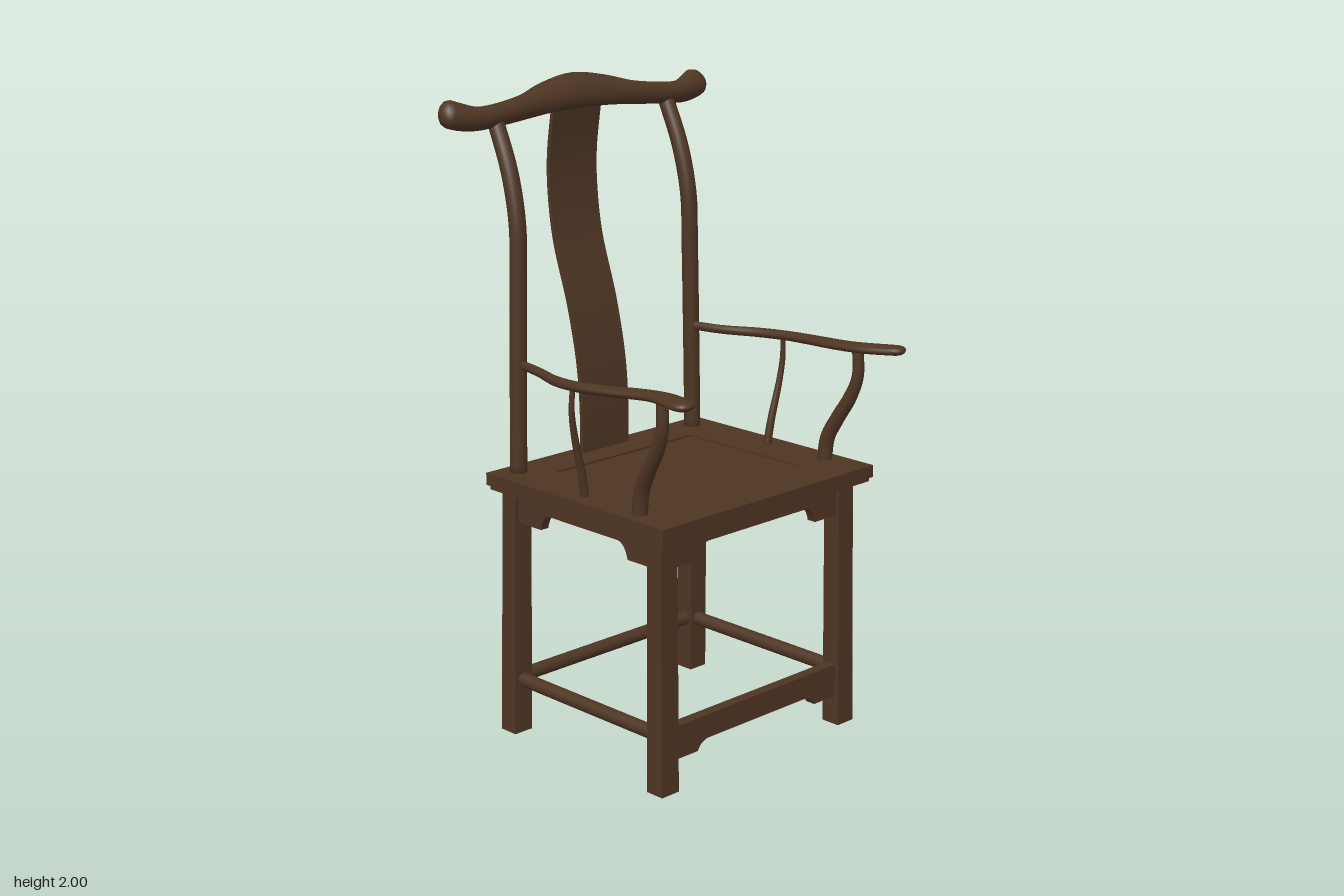
import * as THREE from 'three';

const wood = new THREE.MeshStandardMaterial({ color: 0x4e3523 });
wood.name = 'dark wood';

// Smooth oval sweep. Each station is [x, y, z, halfA, halfB];
// halfA lies along the hint axis, dome rounds off both ends.
function sweep(stations, hint, dome = 0, steps = 36, sides = 16) {
  const path = new THREE.CatmullRomCurve3(stations.map(s => new THREE.Vector3(s[0], s[1], s[2])));
  const size = new THREE.CatmullRomCurve3(stations.map(s => new THREE.Vector3(s[3], s[4], 0)), false, 'catmullrom');
  const axis = new THREE.Vector3(...hint);
  const rings = [];
  const ends = dome ? [0.05, 0.3, 0.6, 0.85] : [];
  for (const f of ends) rings.push([0, -Math.sqrt(1 - f * f), f]);
  for (let i = 0; i <= steps; i++) rings.push([i / steps, 0, 1]);
  for (const f of ends.slice().reverse()) rings.push([1, Math.sqrt(1 - f * f), f]);
  const pos = [], idx = [], n = rings.length;
  for (const [t, push, scale] of rings) {
    const T = path.getTangent(t);
    const A = axis.clone().addScaledVector(T, -axis.dot(T)).normalize();
    const B = new THREE.Vector3().crossVectors(T, A);
    const c = path.getPoint(t).addScaledVector(T, push * dome);
    const s = size.getPoint(t);
    for (let j = 0; j < sides; j++) {
      const w = j / sides * Math.PI * 2;
      const p = c.clone().addScaledVector(A, Math.cos(w) * s.x * scale).addScaledVector(B, Math.sin(w) * s.y * scale);
      pos.push(p.x, p.y, p.z);
    }
  }
  for (let i = 0; i < n - 1; i++) for (let j = 0; j < sides; j++) {
    const a = i * sides + j, b = i * sides + (j + 1) % sides;
    idx.push(a, b, b + sides, a, b + sides, a + sides);
  }
  for (let j = 1; j < sides - 1; j++) {
    const e = (n - 1) * sides;
    idx.push(0, j + 1, j, e, e + j, e + j + 1);
  }
  const g = new THREE.BufferGeometry();
  g.setAttribute('position', new THREE.Float32BufferAttribute(pos, 3));
  g.setIndex(idx);
  g.computeVertexNormals();
  return g;
}

// Rail with a stepped, curved bracket at each end
function bracketRail(L, top, mid, low, thick) {
  const s = new THREE.Shape();
  s.moveTo(-L, top);
  s.lineTo(-L, low);
  s.lineTo(-L + 0.1, low);
  s.quadraticCurveTo(-L + 0.11, mid - 0.005, -L + 0.14, mid);
  s.lineTo(L - 0.14, mid);
  s.quadraticCurveTo(L - 0.11, mid - 0.005, L - 0.1, low);
  s.lineTo(L, low);
  s.lineTo(L, top);
  s.closePath();
  return new THREE.ExtrudeGeometry(s, { depth: thick, bevelEnabled: false, curveSegments: 8 }).translate(0, 0, -thick / 2);
}

export function createModel() {
  const group = new THREE.Group();
  const add = (name, geo, x = 0, y = 0, z = 0, ry = 0) => {
    const m = new THREE.Mesh(geo, wood);
    m.name = name;
    m.position.set(x, y, z);
    m.rotation.y = ry;
    group.add(m);
    return m;
  };

  // Seat frame with a sunken panel and a narrower lower edge
  const frame = new THREE.Shape([[-0.448, -0.387], [0.448, -0.387], [0.448, 0.382], [-0.448, 0.382]].map(p => new THREE.Vector2(...p)));
  frame.holes.push(new THREE.Path([[-0.285, -0.243], [-0.285, 0.243], [0.285, 0.243], [0.285, -0.243]].map(p => new THREE.Vector2(...p))));
  const frameGeo = new THREE.ExtrudeGeometry(frame, { depth: 0.038, bevelEnabled: false }).rotateX(-Math.PI / 2);
  add('seatFrame', frameGeo, 0, 0.803, 0);
  add('seatPanel', new THREE.BoxGeometry(0.575, 0.03, 0.49), 0, 0.82, 0);
  add('seatLowerEdge', new THREE.BoxGeometry(0.88, 0.015, 0.752), 0, 0.7965, 0.002);

  // Splayed legs, slightly thicker at the foot
  for (const sx of [1, -1]) for (const front of [true, false]) {
    const g = new THREE.BoxGeometry(0.064, 0.8, 0.06);
    const p = g.attributes.position;
    for (let i = 0; i < p.count; i++) if (p.getY(i) < 0) {
      p.setX(i, p.getX(i) * 1.07 + sx * 0.007);
      p.setZ(i, p.getZ(i) * 1.07 + (front ? 0.008 : -0.015));
    }
    g.computeVertexNormals();
    add(front ? 'frontLeg' : 'backLeg', g, sx * 0.377, 0.4, front ? 0.31 : -0.323);
  }

  // Aprons under the seat
  add('frontApron', bracketRail(0.35, 0.795, 0.74, 0.69, 0.03), 0, 0, 0.315);
  add('backApron', bracketRail(0.35, 0.795, 0.74, 0.69, 0.03), 0, 0, -0.327);
  for (const s of [1, -1]) add('sideApron', bracketRail(0.29, 0.795, 0.74, 0.69, 0.03), s * 0.38, 0, -0.006, Math.PI / 2);

  // Foot rail in front, round stretchers on the other sides
  add('footRail', bracketRail(0.355, 0.2, 0.125, 0.095, 0.035), 0, 0, 0.317);
  for (const s of [1, -1]) {
    add('sideStretcher', new THREE.CylinderGeometry(0.022, 0.022, 0.62, 16).rotateX(Math.PI / 2), s * 0.382, 0.174, -0.008);
  }
  add('backStretcher', new THREE.CylinderGeometry(0.022, 0.022, 0.74, 16).rotateZ(Math.PI / 2), 0, 0.174, -0.335);

  // Crest rail: mirrored half profile, tilted backwards
  const half = [
    [0.12, 1.94, -0.446, 0.05, 0.033], [0.22, 1.923, -0.436, 0.038, 0.034],
    [0.35, 1.911, -0.423, 0.034, 0.033], [0.42, 1.908, -0.428, 0.036, 0.036],
    [0.47, 1.917, -0.438, 0.042, 0.037], [0.505, 1.928, -0.447, 0.044, 0.036],
  ];
  const mirrored = half.map(([x, ...r]) => [-x, ...r]).reverse();
  add('crestRail', sweep([...mirrored, [0, 1.95, -0.45, 0.058, 0.036], ...half], [0, 0.82, -0.57], 0.028, 64, 20));

  // Curved back splat
  const splatLine = new THREE.CatmullRomCurve3([
    [-0.336, 0.835], [-0.336, 0.98], [-0.348, 1.12], [-0.387, 1.3], [-0.45, 1.5],
    [-0.471, 1.65], [-0.471, 1.76], [-0.447, 1.92],
  ].map(([z, y]) => new THREE.Vector3(0, y, z)));
  const splat = new THREE.BoxGeometry(0.194, 1, 0.014, 1, 40, 1);
  const sp = splat.attributes.position;
  for (let i = 0; i < sp.count; i++) {
    const t = sp.getY(i) + 0.5, c = splatLine.getPoint(t), d = splatLine.getTangent(t), k = sp.getZ(i);
    sp.setY(i, c.y - d.z * k);
    sp.setZ(i, c.z + d.y * k);
  }
  splat.computeVertexNormals();
  add('backSplat', splat, -0.003);

  for (const s of [1, -1]) {
    const side = list => list.map(([x, ...r]) => [s * x, ...r]);
    // Back posts bend backwards near the top
    add('backPost', sweep(side([
      [0.371, 0.82, -0.321, 0.026, 0.026], [0.365, 1.15, -0.321, 0.026, 0.026],
      [0.358, 1.45, -0.321, 0.026, 0.026], [0.355, 1.6, -0.324, 0.026, 0.026],
      [0.352, 1.75, -0.358, 0.026, 0.026], [0.349, 1.91, -0.428, 0.025, 0.025],
    ]), [1, 0, 0]));
    // Serpentine arms, broadening into a rounded hand grip
    add('armRail', sweep(side([
      [0.36, 1.176, -0.315, 0.012, 0.014], [0.385, 1.177, -0.2, 0.014, 0.014],
      [0.427, 1.181, -0.08, 0.017, 0.015], [0.441, 1.187, 0.03, 0.02, 0.015],
      [0.433, 1.194, 0.13, 0.026, 0.015], [0.416, 1.203, 0.24, 0.032, 0.015],
      [0.41, 1.209, 0.32, 0.034, 0.015], [0.422, 1.213, 0.39, 0.04, 0.015],
      [0.443, 1.216, 0.45, 0.037, 0.015], [0.449, 1.217, 0.47, 0.033, 0.015],
    ]), [1, 0, 0], 0.025, 48));
    // Gooseneck posts under the front of the arms
    add('armFrontPost', sweep(side([
      [0.394, 0.825, 0.235, 0.023, 0.023], [0.395, 0.91, 0.245, 0.023, 0.023],
      [0.402, 0.98, 0.28, 0.023, 0.022], [0.408, 1.05, 0.322, 0.021, 0.021],
      [0.412, 1.12, 0.348, 0.019, 0.018], [0.412, 1.205, 0.347, 0.018, 0.017],
    ]), [1, 0, 0]));
    // Slender curved spindle at mid-arm
    add('armSpindle', sweep(side([
      [0.388, 0.83, -0.004, 0.014, 0.013], [0.404, 0.92, -0.001, 0.013, 0.012],
      [0.432, 1.03, 0.003, 0.011, 0.01], [0.445, 1.11, 0.006, 0.009, 0.009],
      [0.443, 1.185, 0.009, 0.008, 0.008],
    ]), [1, 0, 0], 0, 24, 12));
  }
  return group;
}
